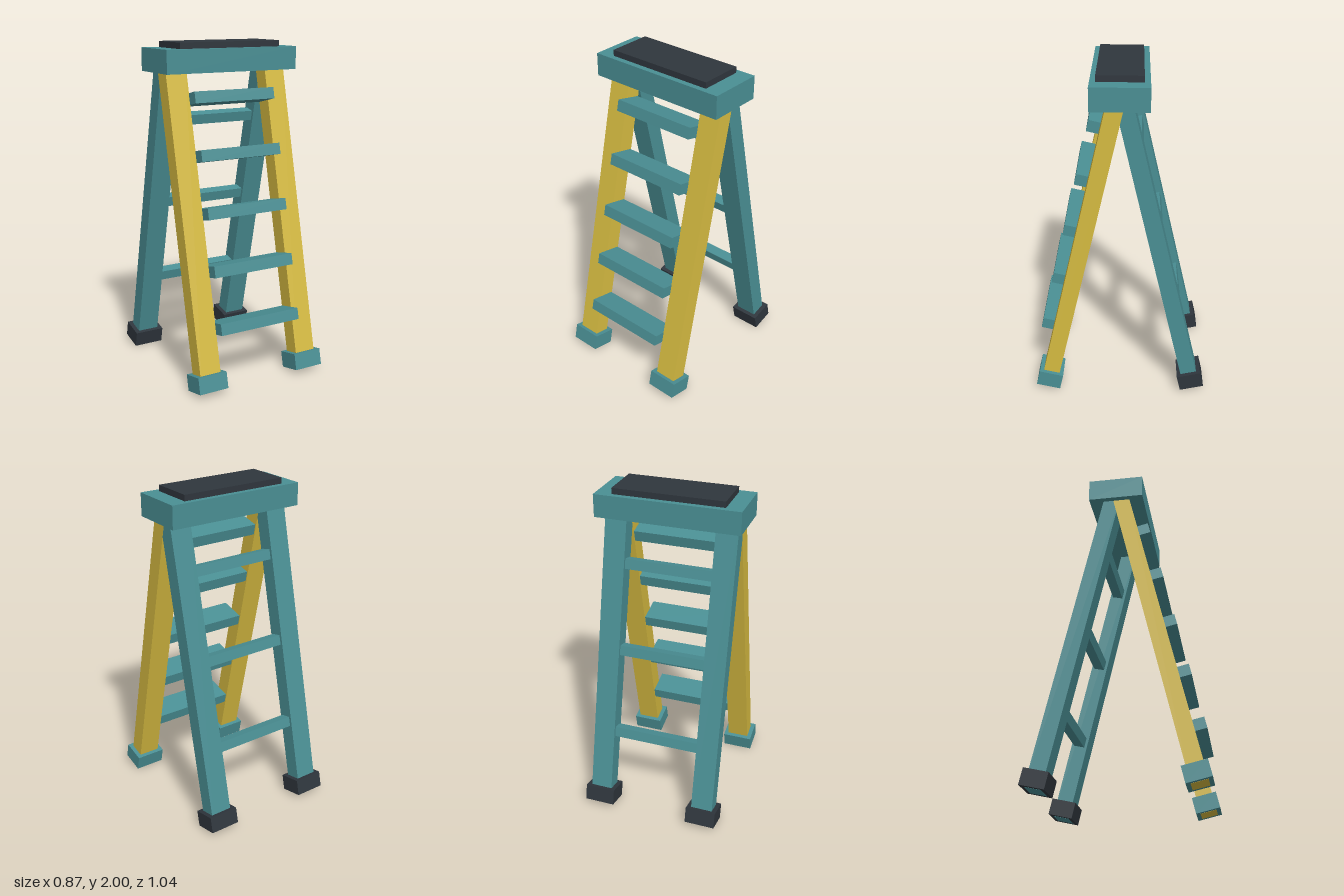
import * as THREE from 'three';

const LEAN = 0.227;   // tilt of each ladder side
const LEG_X = 0.334;  // leg centre from the middle
const INNER = 0.536;  // clear width between legs

export function createModel() {
  const teal = new THREE.MeshStandardMaterial({ color: 0x4a8f94 });
  const yellow = new THREE.MeshStandardMaterial({ color: 0xd6bb41 });
  const charcoal = new THREE.MeshStandardMaterial({ color: 0x2f363d });
  teal.name = 'teal';
  yellow.name = 'yellow';
  charcoal.name = 'charcoal';

  const model = new THREE.Group();
  model.name = 'stepladder';

  function box(parent, name, material, size, position) {
    const mesh = new THREE.Mesh(new THREE.BoxGeometry(...size), material);
    mesh.name = name;
    mesh.position.set(...position);
    parent.add(mesh);
    return mesh;
  }

  // One leaning side: local y runs up the legs, origin at the foot centres
  function ladderSide(name, dir, legMaterial, footMaterial, legWidth) {
    const side = new THREE.Group();
    side.name = name + 'Frame';
    side.position.set(0, 0.065, 0.438 * dir);
    side.rotation.x = -LEAN * dir;
    const bottom = -0.05, top = 1.88;
    for (const s of [-1, 1]) {
      box(side, name + 'Leg', legMaterial, [legWidth, top - bottom, 0.099], [s * LEG_X, (top + bottom) / 2, 0]);
      box(side, name + 'Foot', footMaterial, [0.187, 0.098, 0.148], [s * LEG_X, 0, 0]);
    }
    model.add(side);
    return side;
  }

  // Front side with five deep treads that overhang the legs
  const front = ladderSide('front', 1, yellow, teal, 0.134);
  for (let i = 0; i < 5; i++) {
    box(front, 'tread', teal, [INNER, 0.068, 0.163], [0, 0.303 + 0.3353 * i, 0.039]);
  }

  // Back side with three slim braces
  const back = ladderSide('back', -1, teal, charcoal, 0.133);
  for (let i = 0; i < 3; i++) {
    box(back, 'backBrace', teal, [INNER, 0.061, 0.066], [0, 0.438 + 0.536 * i, 0]);
  }

  // Top platform and its grip pad
  box(model, 'platform', teal, [0.87, 0.137, 0.334], [0, 1.8955, 0]);
  box(model, 'gripPad', charcoal, [0.67, 0.038, 0.266], [0, 1.981, 0]);

  return model;
}
